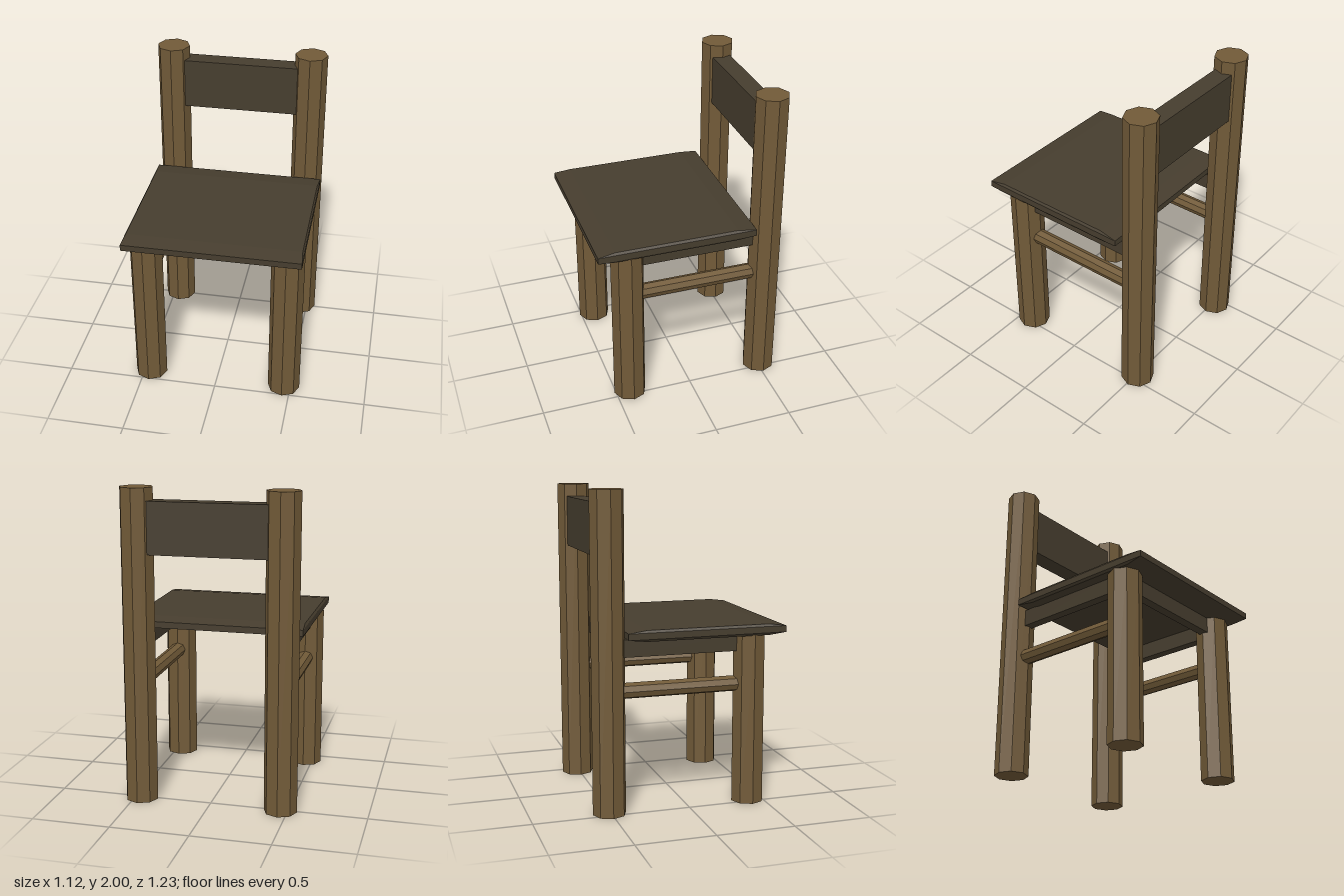
import * as THREE from 'three';
import { ConvexGeometry } from 'three/addons/geometries/ConvexGeometry.js';

export function createModel() {
  const model = new THREE.Group();
  model.name = 'chair';

  const lightWood = new THREE.MeshStandardMaterial({ color: 0x715a38, flatShading: true });
  lightWood.name = 'lightWood';
  const darkWood = new THREE.MeshStandardMaterial({ color: 0x463d2e, flatShading: true });
  darkWood.name = 'darkWood';

  const add = (name, geometry, material, x, y, z) => {
    const mesh = new THREE.Mesh(geometry, material);
    mesh.name = name;
    mesh.position.set(x, y, z);
    model.add(mesh);
    return mesh;
  };
  const pole = (radius, length) => new THREE.CylinderGeometry(radius, radius, length, 8);

  const LEG_X = 0.454, FRONT_Z = 0.405, BACK_Z = -0.51, LEG_R = 0.106;
  const midZ = (FRONT_Z + BACK_Z) / 2;
  const span = FRONT_Z - BACK_Z - 2 * LEG_R + 0.05;

  // Legs, side rails and side stretchers, mirrored left and right
  for (const [side, s] of [['left', 1], ['right', -1]]) {
    add(side + 'FrontLeg', pole(LEG_R, 1.095), lightWood, s * LEG_X, 1.095 / 2, FRONT_Z);
    add(side + 'BackPost', pole(LEG_R, 2), lightWood, s * LEG_X, 1, BACK_Z);
    add(side + 'SeatRail', new THREE.BoxGeometry(0.06, 0.11, span), darkWood, s * LEG_X, 1.042, midZ);
    add(side + 'Stretcher', pole(0.05, span), lightWood, s * LEG_X, 0.775, midZ).rotation.x = Math.PI / 2;
  }

  // Front rail under the seat, and the backrest board
  add('frontSeatRail', new THREE.BoxGeometry(0.76, 0.11, 0.06), darkWood, 0, 1.042, FRONT_Z);
  add('backrest', new THREE.BoxGeometry(0.78, 0.325, 0.12), darkWood, 0, 1.757, BACK_Z);

  // Seat slab: thin rim at front and back, swelling to a flat top and bottom
  const points = [];
  for (const sx of [-1, 1]) {
    for (const sy of [-1, 1]) {
      for (const z of [-0.513, 0.508]) points.push(new THREE.Vector3(sx * 0.561, sy * 0.02, z));
      for (const z of [-0.395, 0.4]) points.push(new THREE.Vector3(sx * 0.551, sy * 0.035, z));
    }
  }
  add('seat', new ConvexGeometry(points), darkWood, 0, 1.125, 0.105);

  return model;
}
